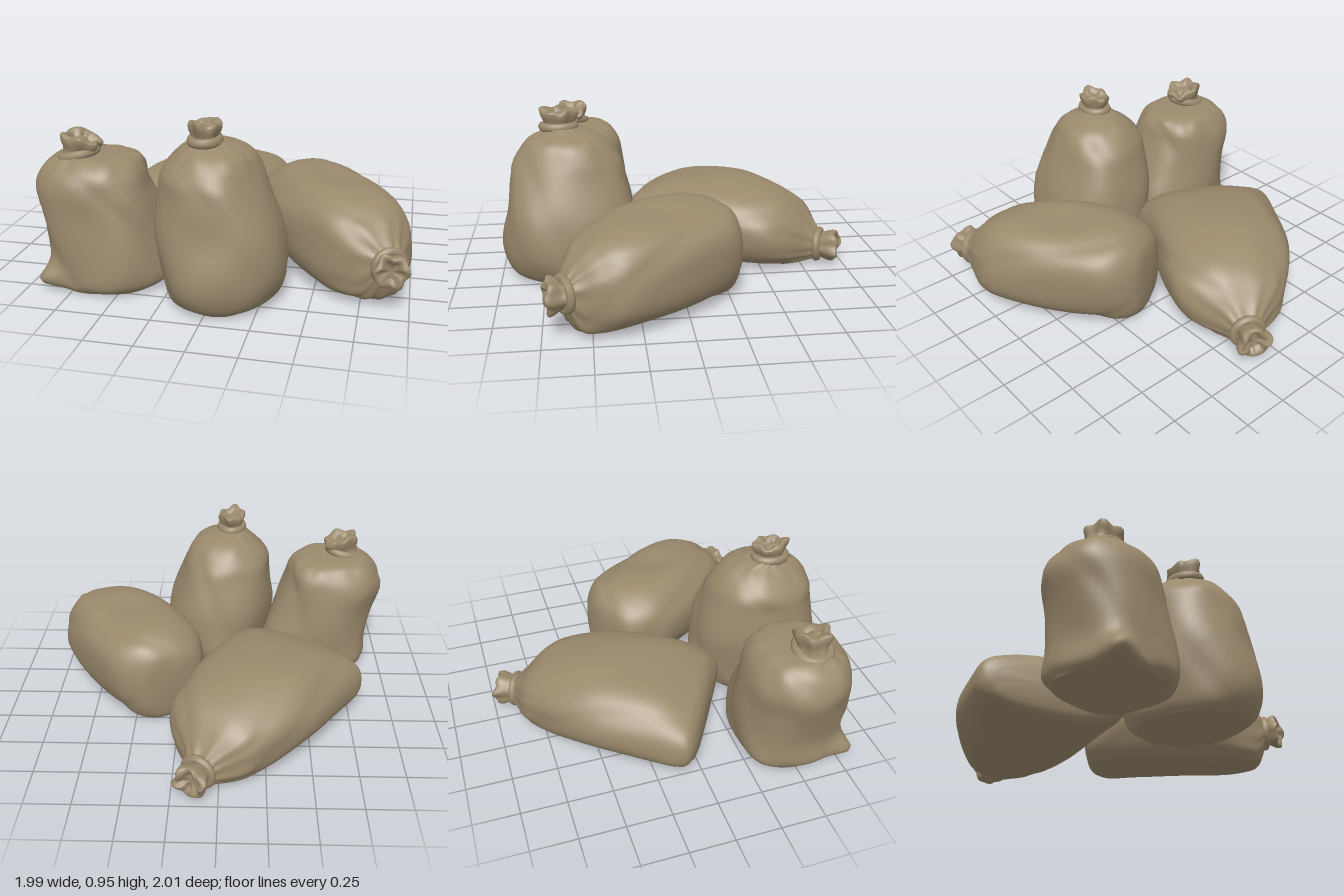
import * as THREE from 'three';
import { toCreasedNormals } from 'three/addons/utils/BufferGeometryUtils.js';

const burlap = new THREE.MeshStandardMaterial({ color: 0x9a896c });
burlap.name = 'burlap';

const V = (x, y, z) => new THREE.Vector3(x, y, z);
const upright = { origin: V(0, 0, 0), axis: V(0, 1, 0), u: V(0, 0, 1), v: V(1, 0, 0) };
const lying = (x, z, dx, dz) => {
  const d = V(dx, 0, dz).normalize();
  return { origin: V(x, 0, z), axis: d, u: V(d.z, 0, -d.x), v: V(0, 1, 0) };
};

// Closed skin over sections [s, u0, u1, v0, v1] placed along a frame's axis
function loft(sections, { origin, axis, u, v }, { rings, segs, power, shape }) {
  const pos = [], idx = [];
  const last = sections.length - 1;
  // Catmull-Rom blend of neighbouring sections
  const sample = t => {
    const f = t * last, i = Math.min(Math.floor(f), last - 1), w = f - i;
    const at = k => sections[Math.max(0, Math.min(last, k))];
    return sections[0].map((_, c) => {
      const [a, b, d, e] = [at(i - 1)[c], at(i)[c], at(i + 1)[c], at(i + 2)[c]];
      return b + 0.5 * w * (d - a + w * (2 * a - 5 * b + 4 * d - e + w * (3 * (b - d) + e - a)));
    });
  };
  const put = (s, a, b) => {
    const p = origin.clone().addScaledVector(axis, s).addScaledVector(u, a).addScaledVector(v, b);
    pos.push(p.x, p.y, p.z);
  };
  for (let i = 0; i <= rings; i++) {
    const t = i / rings, [s, u0, u1, v0, v1] = sample(t);
    for (let j = 0; j < segs; j++) {
      const th = j / segs * Math.PI * 2, c = Math.cos(th), n = Math.sin(th);
      const k = shape(th, t) / 2;
      const a = Math.sign(c) * Math.abs(c) ** (2 / power) * k;
      const b = Math.sign(n) * Math.abs(n) ** (2 / power) * k;
      put(s, (u0 + u1) / 2 + a * (u1 - u0), (v0 + v1) / 2 + b * (v1 - v0));
    }
  }
  for (let i = 0; i < rings; i++) for (let j = 0; j < segs; j++) {
    const k = (j + 1) % segs, a = i * segs + j, b = i * segs + k;
    idx.push(a, b, b + segs, a, b + segs, a + segs);
  }
  // end caps
  for (const [sec, row, flip] of [[sections[0], 0, true], [sections[last], rings, false]]) {
    const mid = pos.length / 3;
    put(sec[0], (sec[1] + sec[2]) / 2, (sec[3] + sec[4]) / 2);
    for (let j = 0; j < segs; j++) {
      const a = row * segs + j, b = row * segs + (j + 1) % segs;
      idx.push(mid, flip ? b : a, flip ? a : b);
    }
  }
  const g = new THREE.BufferGeometry();
  g.setAttribute('position', new THREE.Float32BufferAttribute(pos, 3));
  g.setIndex(idx);
  return g;
}

// Move every vertex by a rule
function bend(geometry, rule) {
  const p = geometry.attributes.position, q = V(0, 0, 0);
  for (let i = 0; i < p.count; i++) {
    rule(q.fromBufferAttribute(p, i));
    p.setXYZ(i, q.x, q.y, q.z);
  }
  return geometry;
}

// Soft dents and slanting creases over the body, gathered pleats towards the neck
const cloth = seed => (th, t) => {
  const dents = 0.016 * Math.sin(3 * th + 7 * t + seed) + 0.013 * Math.sin(5 * th - 11 * t + seed * 2.3)
    + 0.008 * Math.sin(2 * th + 19 * t + seed * 1.7);
  const crease = 0.035 * (0.4 - Math.abs(Math.sin(2 * th + 5 * t + seed + 0.7 * Math.sin(3 * th + 9 * t)))) ** 3;
  const gather = Math.max(0, (t - 0.55) / 0.45) ** 2;
  const pleats = Math.sin(11 * th + seed + 1.2 * Math.sin(2 * th + seed));
  return 0.995 + dents + 4 * crease + 0.06 * gather * pleats;
};

// Cord ring with the ruffled end of the sack above it
function makeNeck({ at, axis, ringAxis, r, h, squash }, seed) {
  const neck = new THREE.Group();
  neck.name = 'tiedNeck';
  const turn = dir => new THREE.Quaternion().setFromUnitVectors(V(0, 1, 0), dir.clone().normalize());

  const ring = new THREE.TorusGeometry(r * 0.8, r * 0.24, 8, 28).rotateX(Math.PI / 2).scale(squash, 1, 1);
  const cord = new THREE.Mesh(ring, burlap);
  cord.name = 'cord';
  cord.quaternion.copy(turn(ringAxis));

  // height and radius, out to the hem and folded back inside
  const rows = [[-0.3, 0.75], [0, 0.7], [0.3, 0.75], [0.65, 0.88], [0.95, 0.88], [1, 0.65], [0.75, 0.4]];
  const sections = rows.map(([y, k]) => [y * h, -k * r, k * r, -k * r * squash, k * r * squash]);
  const ruffle = loft(sections, upright, {
    rings: 14, segs: 36, power: 2,
    shape: (th, t) => 1 + (0.04 + 0.07 * t) * Math.sin(6 * th + seed) + 0.1 * t * Math.sin(4 * th + 5 * t + seed * 2),
  });
  // uneven hem
  bend(ruffle, p => {
    const a = Math.atan2(p.x, p.z);
    if (p.y > 0) p.y *= 0.93 + 0.06 * Math.sin(5 * a + seed) + 0.09 * Math.sin(2 * a + seed);
  });
  const tuft = new THREE.Mesh(toCreasedNormals(ruffle, 0.7), burlap);
  tuft.name = 'ruffledTop';
  tuft.quaternion.copy(turn(axis));

  neck.add(cord, tuft);
  neck.position.copy(at);
  return neck;
}

// Body lofted up to its neck, with bulges pulled out and the underside flat
function makeSack(name, frame, sections, { power, seed, bulges, neck }) {
  const sack = new THREE.Group();
  sack.name = name;
  const d = neck.at.clone().sub(frame.origin), r = neck.r * 0.75;
  const [s, a, b] = [d.dot(frame.axis), d.dot(frame.u), d.dot(frame.v)];
  const skin = loft([...sections, [s, a - r, a + r, b - r, b + r]], frame, { rings: 44, segs: 64, power, shape: cloth(seed) });
  bend(skin, p => {
    for (const { at, move, size } of bulges) p.addScaledVector(move, Math.exp(-p.distanceToSquared(at) / size ** 2));
    p.y = Math.max(p.y, 0.015);
  });
  const body = new THREE.Mesh(toCreasedNormals(skin, 0.9), burlap);
  body.name = 'sackBody';
  sack.add(body, makeNeck(neck, seed));
  return sack;
}

// Standing rows [y, x0, x1]: depth follows the width
const standing = (z, ratio, rows) => rows.map(([y, x0, x1]) => {
  const half = ratio * (x1 - x0) / 2;
  return [y, z - half, z + half, x0, x1];
});

// Lying rows [s, u0, u1, top]: the underside lifts where the sack gets lower
const resting = (height, baseLift, neckLift, rows) => rows.map(([s, u0, u1, top]) =>
  [s, u0, u1, (s < 0 ? baseLift : neckLift) * (height - top) ** 2, top]);

export function createModel() {
  const model = new THREE.Group();
  model.name = 'sackPile';

  model.add(makeSack('leftStandingSack', upright, standing(0.54, 0.93, [
    [0.02, -0.9, -0.34], [0.07, -0.93, -0.28], [0.2, -0.93, -0.28], [0.4, -0.96, -0.33],
    [0.55, -0.99, -0.38], [0.65, -0.95, -0.41], [0.71, -0.88, -0.48],
  ]), {
    power: 2.3, seed: 1.1,
    bulges: [
      { at: V(-0.86, 0.08, 0.76), move: V(-0.06, 0, 0.06), size: 0.07 },
      { at: V(-0.33, 0.2, 0.36), move: V(0.05, 0, -0.01), size: 0.15 },
    ],
    neck: { at: V(-0.75, 0.725, 0.585), axis: V(0.3, 1, 0), ringAxis: V(-0.22, 1, 0), r: 0.11, h: 0.105, squash: 1.05 },
  }));

  model.add(makeSack('middleStandingSack', upright, standing(0.608, 1.15, [
    [0.015, -0.22, 0.28], [0.07, -0.26, 0.34], [0.2, -0.285, 0.38], [0.4, -0.31, 0.355],
    [0.6, -0.29, 0.28], [0.7, -0.275, 0.235], [0.79, -0.2, 0.18], [0.835, -0.14, 0.08],
  ]), {
    power: 2.15, seed: 2.7,
    bulges: [
      { at: V(0.03, 0.15, 0.24), move: V(0, 0, -0.02), size: 0.1 },
      { at: V(0.05, 0.18, 0.97), move: V(0, 0, 0.025), size: 0.18 },
      { at: V(0.03, 0.42, 0.97), move: V(0, 0, -0.03), size: 0.13 },
    ],
    neck: { at: V(-0.045, 0.855, 0.65), axis: V(0, 1, -0.05), ringAxis: V(0, 1, 0), r: 0.11, h: 0.1, squash: 0.8 },
  }));

  model.add(makeSack('rightLyingSack', lying(0.5, 0.15, 0.47, 0.88), resting(0.56, 3, 1.6, [
    [-0.465, -0.11, 0.1, 0.38], [-0.44, -0.19, 0.19, 0.46], [-0.35, -0.255, 0.285, 0.53], [-0.2, -0.298, 0.33, 0.56],
    [0.1, -0.28, 0.37, 0.555], [0.35, -0.21, 0.36, 0.52], [0.48, -0.13, 0.3, 0.455], [0.56, -0.04, 0.23, 0.385],
  ]), {
    power: 2.5, seed: 4.2,
    bulges: [{ at: V(0.57, 0.55, 0.15), move: V(0, -0.025, 0), size: 0.12 }],
    neck: { at: V(0.89, 0.25, 0.635), axis: V(0.15, 0, 0.9), ringAxis: V(0.47, 0, 0.88), r: 0.1, h: 0.095, squash: 1 },
  }));

  model.add(makeSack('backLyingSack', lying(-0.2, -0.35, 0.51, -0.86), resting(0.49, 3, 0.4, [
    [-0.555, -0.31, 0.34, 0.3], [-0.535, -0.37, 0.405, 0.35], [-0.48, -0.42, 0.43, 0.4], [-0.3, -0.42, 0.42, 0.465],
    [0, -0.4, 0.4, 0.49], [0.2, -0.375, 0.35, 0.465], [0.36, -0.335, 0.285, 0.415], [0.46, -0.25, 0.23, 0.35],
    [0.54, -0.13, 0.13, 0.26],
  ]), {
    power: 2.4, seed: 5.6,
    bulges: [{ at: V(-0.14, 0.18, 0.24), move: V(0.02, 0, 0.02), size: 0.12 }],
    neck: { at: V(0.105, 0.125, -0.86), axis: V(0.38, 0, -0.85), ringAxis: V(0.45, 0, -0.87), r: 0.1, h: 0.12, squash: 1 },
  }));

  return model;
}
